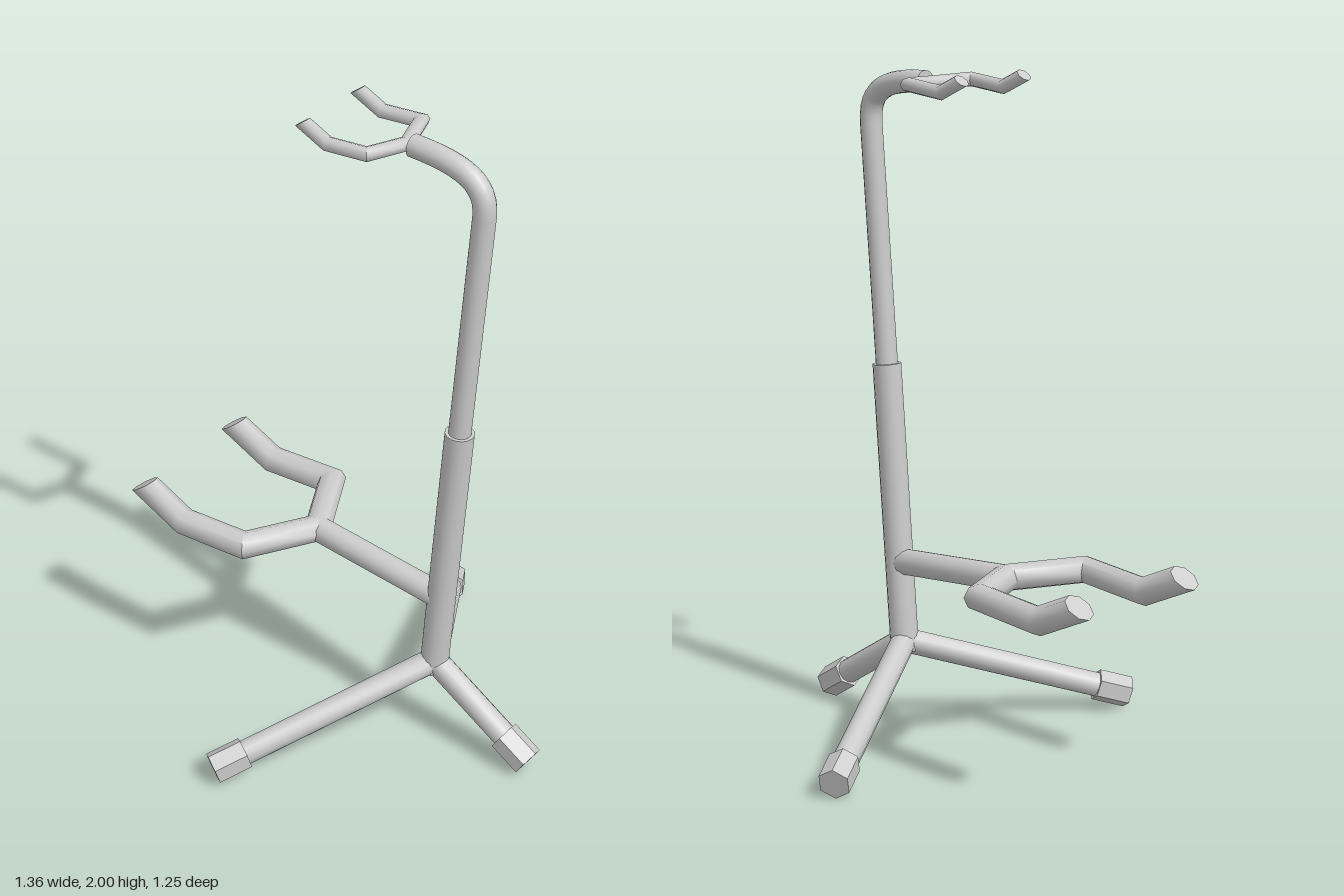
import * as THREE from 'three';
import { toCreasedNormals } from 'three/addons/utils/BufferGeometryUtils.js';

const V = (x, y, z = 0) => new THREE.Vector3(x, y, z);
const material = new THREE.MeshStandardMaterial({ color: 0xcccccc });

// Capped tube along a polyline with mitred joints; the end planes may be slanted.
function mitredTube(path, radius, sides, startNormal, endNormal) {
  const last = path.length - 1;
  const dirs = path.slice(1).map((p, i) => p.clone().sub(path[i]).normalize());
  const up = Math.abs(dirs[0].y) > 0.9 ? V(0, 0, 1) : V(0, 1, 0);
  const u = up.addScaledVector(dirs[0], -up.dot(dirs[0])).normalize();
  const v = dirs[0].clone().cross(u);
  const positions = [], index = [];
  let ring = Array.from({ length: sides }, (_, k) => {
    const a = (k / sides) * Math.PI * 2;
    return path[0].clone().addScaledVector(u, radius * Math.cos(a)).addScaledVector(v, radius * Math.sin(a));
  });
  path.forEach((p, i) => {
    const d = dirs[Math.max(i - 1, 0)];
    let n = d;
    if (i === 0) n = startNormal || d;
    else if (i === last) n = endNormal || d;
    else n = d.clone().add(dirs[i]);
    // slide every corner along the segment onto the joint plane
    ring = ring.map(q => q.clone().addScaledVector(d, p.clone().sub(q).dot(n) / d.dot(n)));
    ring.forEach(q => positions.push(q.x, q.y, q.z));
  });
  for (let i = 0; i < last; i++) {
    for (let k = 0; k < sides; k++) {
      const a = i * sides + k, b = i * sides + (k + 1) % sides;
      index.push(a, b, b + sides, a, b + sides, a + sides);
    }
  }
  const c0 = positions.length / 3, c1 = c0 + 1;
  for (const p of [path[0], path[last]]) positions.push(p.x, p.y, p.z);
  for (let k = 0; k < sides; k++) {
    const next = (k + 1) % sides;
    index.push(c0, next, k, c1, last * sides + k, last * sides + next);
  }
  const geometry = new THREE.BufferGeometry();
  geometry.setAttribute('position', new THREE.Float32BufferAttribute(positions, 3));
  geometry.setIndex(index);
  return toCreasedNormals(geometry, 0.9);
}

export function createModel() {
  const model = new THREE.Group();
  model.name = 'instrumentStand';
  const add = (name, ...args) => {
    const mesh = new THREE.Mesh(mitredTube(...args), material);
    mesh.name = name;
    model.add(mesh);
  };

  // Two-stage leaning pole with the top curving forward
  add('lowerPole', [V(0.303, 0.23), V(0.376, 1.105)], 0.043, 16);
  const bend = new THREE.CubicBezierCurve3(
    V(0.438, 1.82), V(0.445, 1.92), V(0.37, 1.952), V(0.2, 1.955));
  add('upperPole', [V(0.373, 1.07), ...bend.getPoints(12)], 0.033, 16);

  // Forks: one arm is described and mirrored across z
  const fork = (name, centre, arm, radius) => {
    const mirrored = arm.map(p => V(p.x, p.y, -p.z)).reverse();
    add(name, [...mirrored, centre, ...arm], radius, 8, V(0.58, -0.81), V(-0.58, 0.81));
  };
  fork('neckFork', V(0.178, 1.953),
    [V(0.137, 1.959, 0.121), V(0.005, 1.947, 0.121), V(-0.08, 1.986, 0.121)], 0.021);
  fork('bodyFork', V(-0.137, 0.548),
    [V(-0.25, 0.555, 0.211), V(-0.485, 0.538, 0.211), V(-0.64, 0.61, 0.211)], 0.041);
  add('bodyForkStem', [V(0.315, 0.505), V(-0.135, 0.546)], 0.04, 12);

  // Three legs with hexagonal rubber feet
  const hub = V(0.305, 0.26);
  const tips = { rear: V(0.653, 0.045), front: V(-0.062, 0.047, 0.598), back: V(-0.062, 0.047, -0.598) };
  for (const [side, tip] of Object.entries(tips)) {
    const dir = tip.clone().sub(hub).normalize();
    add(side + 'Leg', [hub, tip.clone().addScaledVector(dir, -0.02)], 0.038, 12);
    add(side + 'Foot', [tip.clone().addScaledVector(dir, -0.105), tip], 0.049, 6);
  }
  return model;
}
